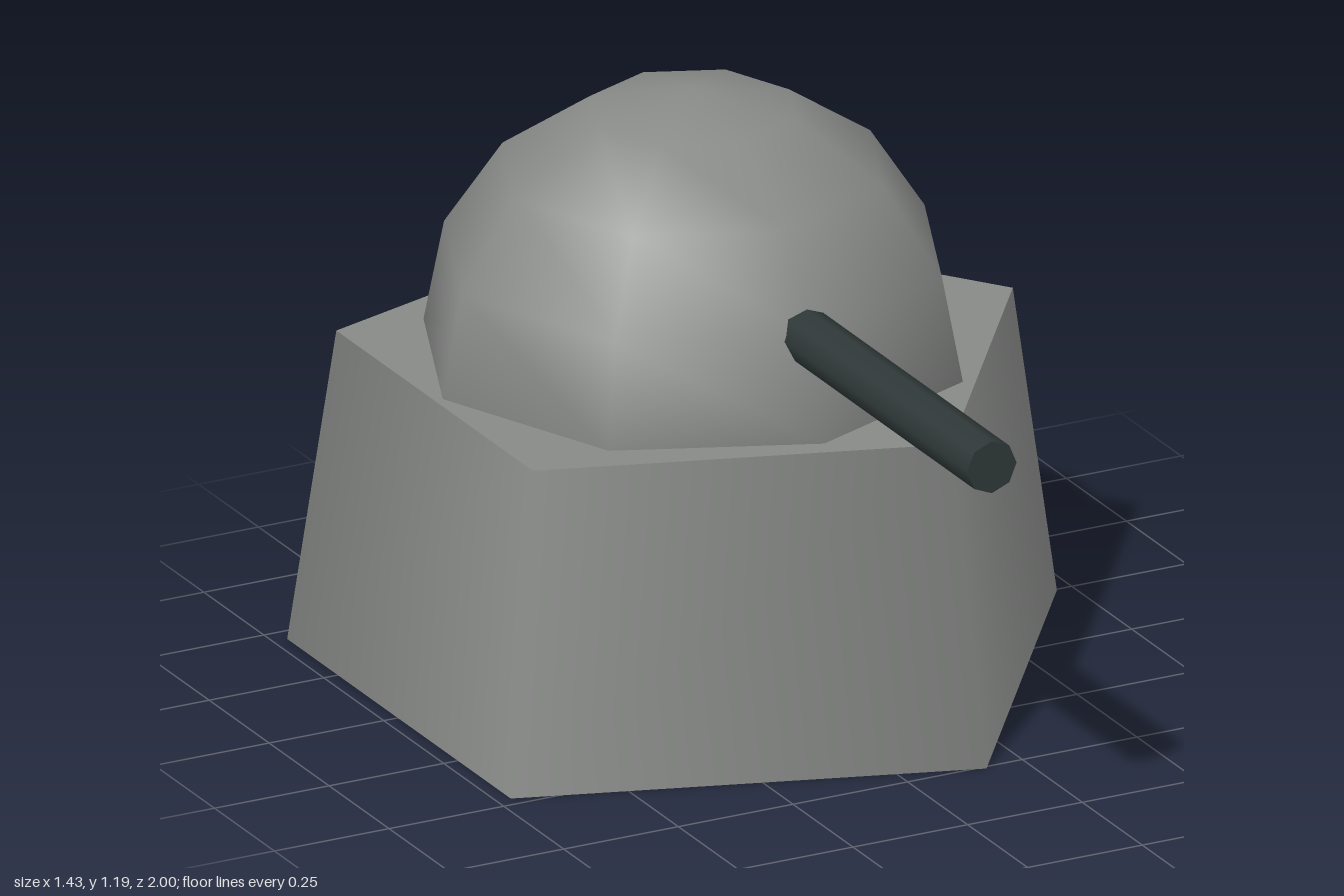
import * as THREE from 'three';

export function createModel() {
  const model = new THREE.Group();
  const grey = new THREE.MeshStandardMaterial({ name: 'grey', color: 0x888a88 });
  const darkGrey = new THREE.MeshStandardMaterial({ name: 'darkGrey', color: 0x2f3838 });

  const centreX = -0.078, centreZ = -0.245, baseHeight = 0.648;

  function add(name, geometry, material, y, z = centreZ) {
    const mesh = new THREE.Mesh(geometry, material);
    mesh.name = name;
    mesh.position.set(centreX, y, z);
    model.add(mesh);
  }

  // Tapered five-sided base, one corner pointing to the left side
  const base = new THREE.CylinderGeometry(0.697, 0.793, baseHeight, 5);
  base.rotateY(Math.PI / 2);
  add('base', base, grey, baseHeight / 2);

  // Eight-sided dome with smooth normals
  const dome = new THREE.SphereGeometry(0.546, 8, 4, 0, Math.PI * 2, 0, Math.PI / 2);
  add('dome', dome, grey, baseHeight);

  // Barrel running from inside the dome to the front
  const barrelLength = 1 - centreZ;
  const barrel = new THREE.CylinderGeometry(0.054, 0.054, barrelLength, 8);
  barrel.rotateX(Math.PI / 2);
  add('barrel', barrel, darkGrey, 0.848, centreZ + barrelLength / 2);

  return model;
}
